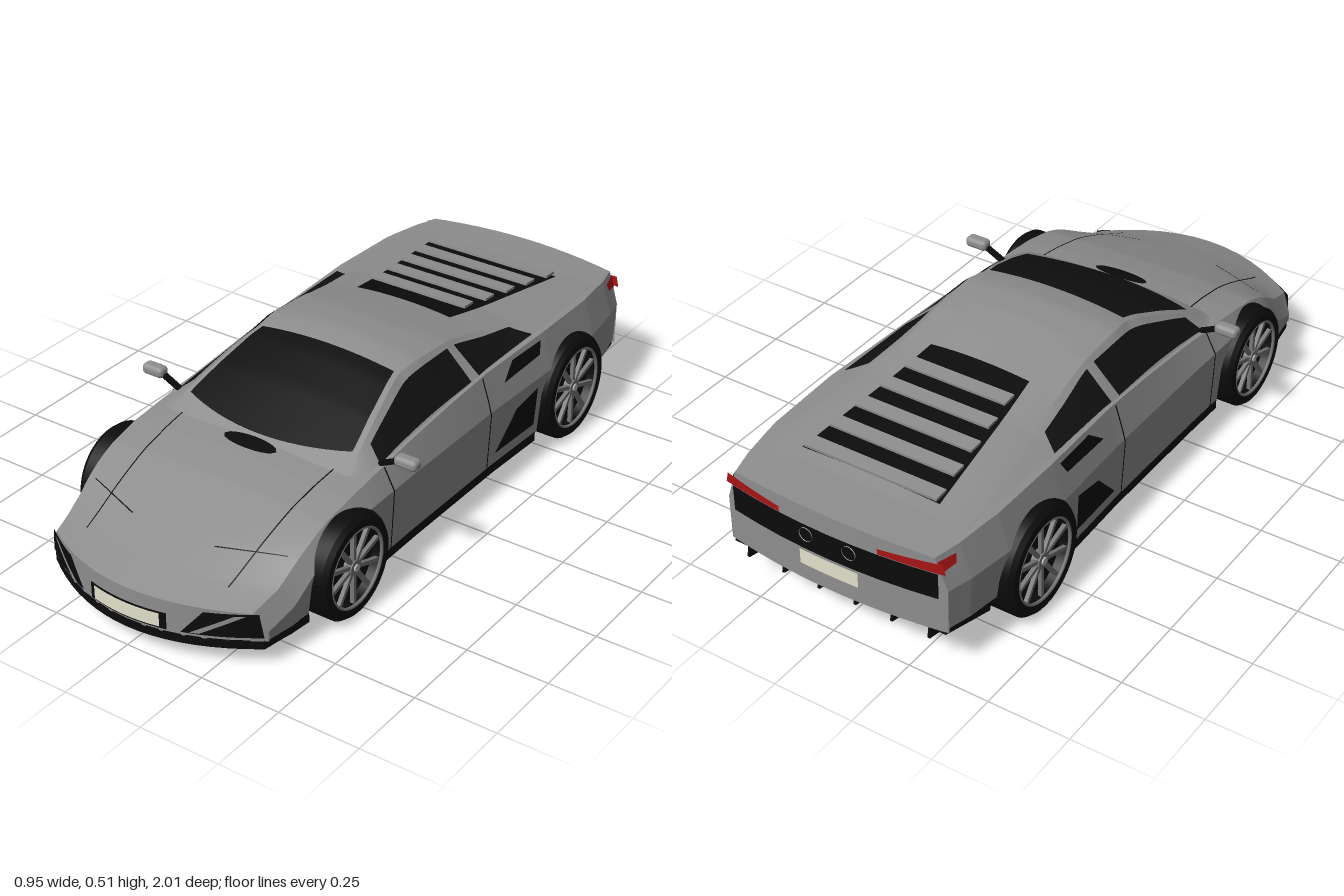
import * as THREE from 'three';
import { toCreasedNormals } from 'three/addons/utils/BufferGeometryUtils.js';
import { RoundedBoxGeometry } from 'three/addons/geometries/RoundedBoxGeometry.js';

const mat = (name, color) => {
  const m = new THREE.MeshStandardMaterial({ color, side: THREE.DoubleSide });
  m.name = name;
  return m;
};
const lerp = THREE.MathUtils.lerp, smooth = THREE.MathUtils.smoothstep;

// Linear lookup in a table of [z, value] rows, z falling from nose to tail
const curve = (rows) => (z) => {
  for (let i = 1; i < rows.length; i++) {
    const [z0, a] = rows[i - 1], [z1, b] = rows[i];
    if (z >= z1) return lerp(a, b, THREE.MathUtils.clamp((z0 - z) / (z0 - z1), 0, 1));
  }
  return rows[rows.length - 1][1];
};

// Lower body: half width, shoulder height, centre line height
const W = curve([[1, .37], [.9, .385], [.7, .395], [.5, .4], [.2, .395], [-.2, .395], [-.5, .405], [-.75, .4], [-.92, .38], [-1, .36]]);
const shoulderY = curve([[1, .172], [.9, .203], [.76, .255], [.6, .308], [.5, .328], [.41, .338], [.2, .36], [0, .378], [-.2, .39], [-.5, .395], [-.8, .39], [-1, .38]]);
const deckY = curve([[1, .188], [.9, .22], [.76, .27], [.6, .322], [.5, .344], [.41, .358], [.2, .365], [0, .38], [-.5, .397], [-.8, .396], [-1, .39]]);
const shoulderX = (z) => W(z) - .035;
const creaseY = (z) => Math.min(.28, shoulderY(z) - .055);

// Cabin: centre line height, roof edge half width and height
const roofTop = curve([[.43, .356], [.35, .393], [.25, .44], [.13, .487], [.08, .5], [0, .512], [-.1, .508], [-.2, .49], [-.33, .465], [-.45, .447], [-.65, .422], [-.85, .397]]);
const roofX = curve([[.43, .3], [.35, .297], [.08, .242], [0, .25], [-.2, .25], [-.45, .27], [-.65, .305], [-.85, .335]]);
const roofEdgeY = curve([[.43, .34], [.35, .378], [.25, .423], [.13, .468], [.05, .486], [0, .49], [-.15, .48], [-.3, .448], [-.45, .424], [-.65, .407], [-.85, .389]]);
const roofY = (z, x) => roofTop(z) + (roofEdgeY(z) - roofTop(z)) * (x / roofX(z)) ** 2;

// Bow of the nose and tail in plan
const bow = (z, x) => z - smooth(z, .6, 1) * x * x + smooth(-z, .7, 1) * .25 * x * x;

const wheels = [{ name: 'front', z: .54, r: .155 }, { name: 'rear', z: -.615, r: .165 }];

// Lower edge of the side panels, with wheel arches
function bottomY(z) {
  const zw = bow(z, W(z));
  let y = z < -.7 ? .15 : .085;
  for (const w of wheels) {
    const d = zw - w.z, R = w.r + .008;
    if (Math.abs(d) < R) y = Math.max(y, w.r + Math.sqrt(R * R - d * d) - .005);
  }
  return Math.min(y, shoulderY(z) - .004);
}
function sideX(z, y) {
  const c = creaseY(z);
  return y > c ? lerp(W(z), shoulderX(z), (y - c) / (shoulderY(z) - c)) : W(z) - .012 * (c - y) / (c - .05);
}

// Surface from a rule: fn(u, v) gives a point
function grid(nu, nv, fn) {
  const pos = [], idx = [];
  for (let i = 0; i <= nu; i++) for (let j = 0; j <= nv; j++) pos.push(...fn(i / nu, j / nv));
  for (let i = 0; i < nu; i++) for (let j = 0; j < nv; j++) {
    const a = i * (nv + 1) + j, b = a + nv + 1;
    idx.push(a, a + 1, b, b, a + 1, b + 1);
  }
  const g = new THREE.BufferGeometry();
  g.setAttribute('position', new THREE.Float32BufferAttribute(pos, 3));
  g.setIndex(idx);
  g.computeVertexNormals();
  return g;
}
// Four-cornered patch laid on a surface: map(p, q) gives a point
const patch = (c, map, n = 8) => grid(n, n, (u, v) =>
  map(...[0, 1].map((k) => lerp(lerp(c[0][k], c[1][k], u), lerp(c[3][k], c[2][k], u), v))));
const rect = (a0, b0, a1, b1) => [[a0, b0], [a1, b0], [a1, b1], [a0, b1]];

function bodyPoint(z, s) {
  const t = Math.abs(s), sy = shoulderY(z), b = bottomY(z), c = Math.max(creaseY(z), b);
  let x, y;
  if (t <= .6001) {
    x = shoulderX(z) * t / .6;
    y = lerp(deckY(z), sy, (t / .6) ** 2);
  } else {
    y = t <= .8001 ? lerp(sy, c, (t - .6) / .2) : lerp(c, b, (t - .8) / .2);
    x = sideX(z, y);
  }
  return [Math.sign(s) * x, y, bow(z, x)];
}
function cabinPoint(z, s) {
  const t = Math.abs(s), k = Math.max(0, (t - .6) / .4);
  const x = t <= .6001 ? roofX(z) * t / .6 : lerp(roofX(z), shoulderX(z) - .006, k);
  const y = t <= .6001 ? roofY(z, x) : lerp(roofEdgeY(z), shoulderY(z) - .004, k);
  return [Math.sign(s) * x, y, z];
}

export function createModel() {
  const car = new THREE.Group();
  car.name = 'sportsCar';
  const paint = mat('greyPaint', 0x8e8e8e), black = mat('blackTrim', 0x0b0b0b), glass = mat('darkGlass', 0x101010);
  const metal = mat('wheelMetal', 0x777777), cream = mat('creamPlate', 0xe2e0cc), red = mat('redLens', 0xa81414), chrome = mat('chrome', 0xb8b8b8);
  const add = (name, geo, m, parent = car) => {
    const mesh = new THREE.Mesh(geo, m);
    mesh.name = name;
    parent.add(mesh);
    return mesh;
  };

  // Painted shell
  add('bodyShell', toCreasedNormals(grid(240, 20, (u, v) => bodyPoint(1 - 2 * u, 2 * v - 1)), .3), paint);
  add('cabinShell', toCreasedNormals(grid(96, 20, (u, v) => cabinPoint(.43 - 1.28 * u, 2 * v - 1)), .35), paint);
  for (const [name, z, low] of [['noseFace', 1, .085], ['tailFace', -1, .14]]) {
    add(name, grid(4, 20, (u, v) => {
      const [x, y, zz] = bodyPoint(z, 2 * v - 1);
      return z > 0 ? [x, lerp(low, y, u), zz] : [x, lerp(y, low, u), zz];
    }), paint);
  }

  // Floor with front lip, cut in around the wheels
  const edge = [];
  for (let x = 0; x <= .36; x += .04) edge.push([x, 1 - x * x]);
  for (let z = .99; z >= -.79; z -= .01) {
    const inWheel = wheels.some((w) => Math.abs(bow(z, .38) - w.z) < w.r + .012);
    edge.push([inWheel ? .295 : W(z) - .008, bow(z, W(z))]);
  }
  const outline = [...edge, ...edge.slice(1).reverse().map(([x, z]) => [-x, z])];
  const floor = add('floor', new THREE.ExtrudeGeometry(new THREE.Shape(outline.map(([x, z]) => new THREE.Vector2(x, z))), { depth: .028, bevelEnabled: false }), black);
  floor.rotation.x = Math.PI / 2;
  floor.position.y = .088;

  // Rear diffuser and fins
  const diffuser = add('diffuser', new THREE.BoxGeometry(.7, .035, .21), black);
  diffuser.position.set(0, .118, -.865);
  diffuser.rotation.x = .3;
  for (let i = 0; i < 6; i++) {
    const fin = add('diffuserFin', new THREE.BoxGeometry(.008, .05, .13), black);
    fin.position.set(-.3 + i * .12, .115, -.91);
    fin.rotation.x = .2;
  }

  // Windscreen, bonnet vent and engine louvres
  add('windscreen', grid(16, 16, (u, v) => {
    const s = 2 * v - 1, z = lerp(.415 - .055 * s * s, .085, u), x = s * roofX(z) * .94;
    return [x, roofY(z, x) + .004, z];
  }), glass);
  add('bonnetVent', grid(4, 16, (u, v) => {
    const s = 2 * v - 1, x = .09 * s, z = .45 + .026 * (1 - 2 * u) * Math.sqrt(1 - s * s);
    return [x, bodyPoint(z, .6 * x / shoulderX(z))[1] + .004, z];
  }), black);
  const onRoof = (x, z) => [x, roofY(z, x) + .004, z];
  add('engineBay', patch([[-.165, -.3], [.165, -.3], [.225, -.81], [-.225, -.81]], onRoof), black);
  for (let i = 0; i < 5; i++) {
    const z = -.4 - i * .0975, hw = lerp(.155, .218, (-.3 - z) / .5);
    const slat = add('louvreSlat', new THREE.BoxGeometry(2 * hw, .008, .046), paint);
    slat.position.set(0, roofY(z, 0) + .009, z);
    slat.rotation.x = -.07;
  }

  for (const s of [-1, 1]) {
    const side = s > 0 ? 'left' : 'right';
    const onSide = (z, y) => { const x = sideX(z, y); return [s * (x + .003), y, bow(z, x)]; };
    const onCabin = (z, t) => { const p = cabinPoint(z, s * (1 - .4 * t)); return [p[0] + s * .003, p[1] + .002, z]; };
    const onNose = (x, y) => [s * x, y, 1 - x * x + .004];
    const onBonnet = (x, z) => [s * x, bodyPoint(z, .6 * x / shoulderX(z))[1] + .002, bow(z, x)];

    // Side glass, intakes and door gaps
    add(side + 'DoorWindow', patch([[.33, .12], [-.13, .06], [-.13, .88], [.31, .8]], onCabin, 16), glass);
    add(side + 'QuarterWindow', patch([[-.17, .06], [-.46, .15], [-.42, .75], [-.165, .88]], onCabin, 16), glass);
    add(side + 'UpperIntake', patch([[-.26, .335], [-.45, .343], [-.47, .38], [-.32, .38]], onSide), black);
    add(side + 'LowerIntake', patch([[-.21, .125], [-.415, .125], [-.42, .25], [-.31, .23]], onSide), black);
    add(side + 'DoorFrontGap', patch(rect(.333, .09, .328, .345), onSide), black);
    add(side + 'DoorRearGap', patch(rect(-.167, .09, -.172, .385), onSide), black);
    add(side + 'BonnetGap', patch([[.24, .92], [.244, .92], [.264, .4], [.26, .4]], onBonnet, 16), black);
    add(side + 'LampGap', patch([[.14, .8], [.14, .804], [.33, .764], [.33, .76]], onBonnet), black);

    // Nose openings with slanted bars
    add(side + 'NoseIntake', patch([[.165, .098], [.362, .098], [.352, .172], [.225, .172]], onNose), black);
    add(side + 'NoseBar', patch([[.19, .104], [.215, .104], [.325, .168], [.3, .168]], (x, y) => { const p = onNose(x, y); p[2] += .005; return p; }), paint);

    // Tail lamps, wrapping onto the flanks
    add(side + 'TailLamp', patch([[.16, .335], [.358, .335], [.35, .368], [.16, .352]], (x, y) => [s * x, y, -1.005 + .25 * x * x]), red);
    add(side + 'TailLampFlank', patch([[-1, .335], [-.95, .342], [-.94, .366], [-1, .368]], onSide), red);
    const pipe = add(side + 'Exhaust', new THREE.CylinderGeometry(.022, .022, .04, 20, 1, true), chrome);
    pipe.rotation.x = Math.PI / 2;
    pipe.position.set(s * .07, .3, -.985);

    // Door mirrors
    const mirror = add(side + 'Mirror', new RoundedBoxGeometry(.074, .034, .04, 3, .014), paint);
    mirror.position.set(s * .437, .384, .325);
    const arm = add(side + 'MirrorArm', new THREE.BoxGeometry(.075, .012, .016), black);
    arm.position.set(s * .382, .366, .325);
    arm.rotation.z = s * .45;

    for (const w of wheels) {
      // Wheel arch liner
      const liner = add(w.name + 'ArchLiner', new THREE.CylinderGeometry(w.r + .005, w.r + .005, .11, 32, 1, true, 0, Math.PI).rotateZ(Math.PI / 2), black);
      liner.position.set(s * .33, w.r - .005, w.z);

      // Wheel, built facing up and turned outward
      const wheel = new THREE.Group();
      wheel.name = w.name + side + 'Wheel';
      wheel.position.set(s * .362, w.r, w.z);
      wheel.rotation.z = -s * Math.PI / 2;
      car.add(wheel);
      const r = w.r, prof = [[.6, -.066], [.93, -.066], [1, -.05], [1, .05], [.93, .064], [.78, .064], [.75, .03]];
      add('tyre', toCreasedNormals(new THREE.LatheGeometry(prof.map(([a, y]) => new THREE.Vector2(a * r, y)), 40), .5), black, wheel);
      add('wheelDish', new THREE.CylinderGeometry(r * .76, r * .76, .09, 40), black, wheel).position.y = -.015;
      add('rim', new THREE.TorusGeometry(r * .76, .005, 6, 40).rotateX(Math.PI / 2), metal, wheel).position.y = .06;
      add('hub', new THREE.CylinderGeometry(r * .15, r * .17, .025, 16), metal, wheel).position.y = .045;
      add('hubCap', new THREE.CylinderGeometry(r * .07, r * .07, .006, 12), chrome, wheel).position.y = .059;
      for (let i = 0; i < 10; i++) {
        const spoke = new THREE.BoxGeometry(r * .64, .012, .012).translate(r * .43, .048, 0).rotateY(i * Math.PI / 5);
        add('spoke', spoke, metal, wheel);
      }
    }
  }

  // Number plates and tail grille
  const onTail = (d) => (x, y) => [x, y, -1 + .25 * x * x - d];
  const onFront = (d) => (x, y) => [x, y, 1 - x * x + d];
  add('frontPlateRecess', patch(rect(-.128, .096, .128, .148), onFront(.004)), black);
  add('frontPlate', patch(rect(-.11, .103, .11, .145), onFront(.008)), cream);
  add('tailGrille', patch(rect(-.335, .25, .335, .332), onTail(.004)), black);
  add('rearPlate', patch(rect(-.095, .195, .095, .243), onTail(.005)), cream);
  return car;
}
